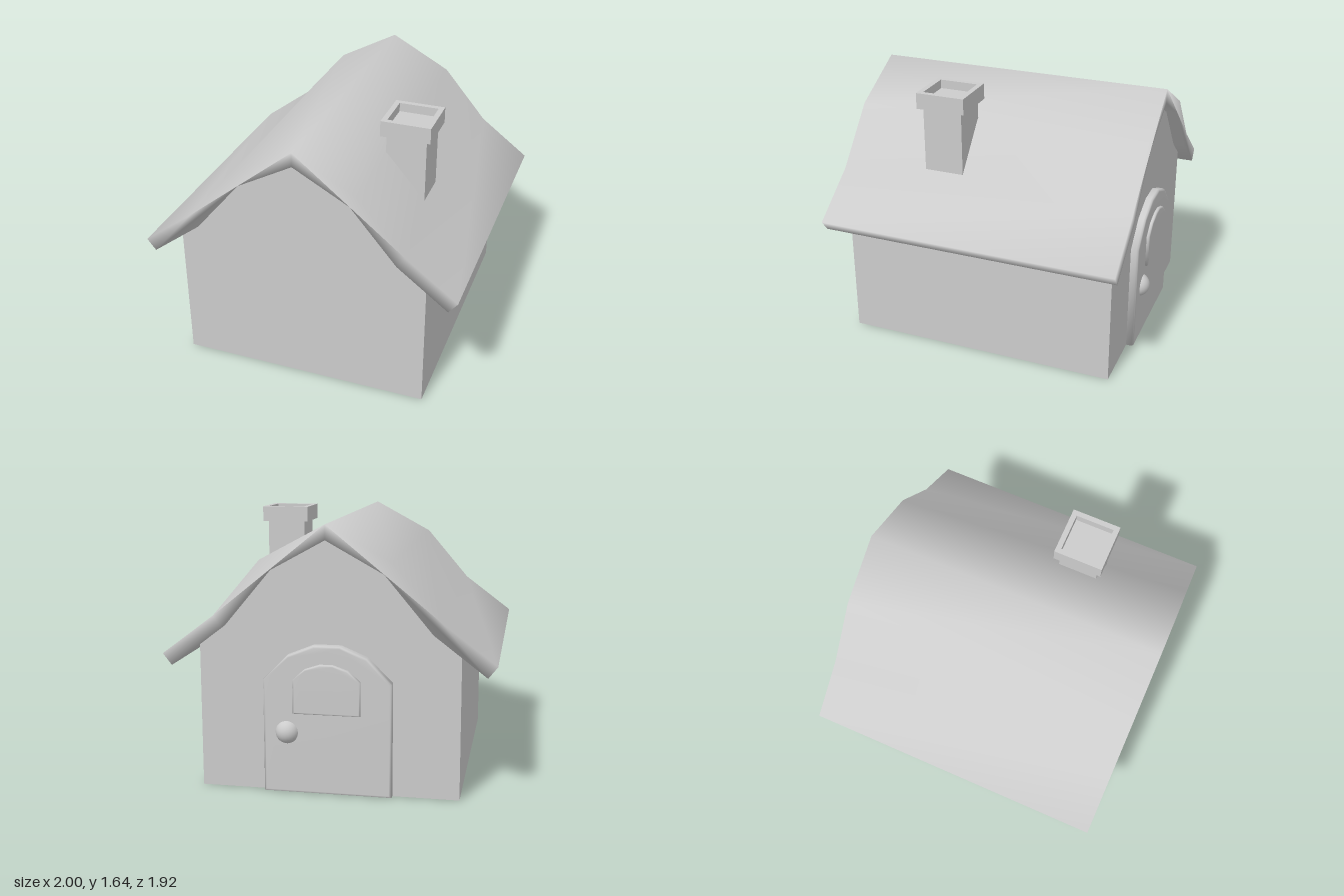
import * as THREE from 'three';
import { mergeVertices } from 'three/addons/utils/BufferGeometryUtils.js';

const material = new THREE.MeshStandardMaterial({ color: 0xcccccc });

function part(name, geometry, parent) {
  const mesh = new THREE.Mesh(geometry, material);
  mesh.name = name;
  parent.add(mesh);
  return mesh;
}

// Closed outline from right-half points, mirrored across x = 0
function mirrored(points) {
  const left = points.filter(([x]) => x > 0).map(([x, y]) => [-x, y]).reverse();
  return new THREE.Shape([...points, ...left].map(([x, y]) => new THREE.Vector2(x, y)));
}

// Extrude a shape between two z values, with an optional bevel inside the outline
function slab(shape, z0, z1, bevel = 0) {
  return new THREE.ExtrudeGeometry(shape, {
    depth: z1 - z0 - 2 * bevel, bevelEnabled: bevel > 0,
    bevelSize: bevel, bevelThickness: bevel, bevelOffset: -bevel, bevelSegments: 2,
  }).translate(0, 0, z0 + bevel);
}

// Weld the corners so that shading runs softly over the edges
function soften(geometry) {
  geometry.deleteAttribute('uv');
  geometry.deleteAttribute('normal');
  const welded = mergeVertices(geometry, 1e-4);
  welded.computeVertexNormals();
  return welded;
}

function square(half) {
  return [[-half, -half], [half, -half], [half, half], [-half, half]].map(
    ([x, y]) => new THREE.Vector2(x, y));
}

export function createModel() {
  const house = new THREE.Group();
  house.name = 'house';

  // Walls and gables, reaching just into the underside of the roof
  part('walls', slab(mirrored([
    [0.792, 0], [0.79, 0.9], [0.63, 1.02], [0.35, 1.36], [0, 1.55],
  ]), -0.86, 0.88), house);

  // Bent roof shell with an even thickness
  const outer = [[1, 0.84], [0.68, 1.08], [0.39, 1.42], [0, 1.63]];
  const inner = [[0, 1.54], [0.345, 1.35], [0.63, 1.01], [0.945, 0.77]];
  const flip = ([x, y]) => [-x, y];
  const ring = [
    ...outer, ...outer.slice(0, 3).reverse().map(flip),
    ...inner.slice(1).reverse().map(flip), ...inner,
  ].map(([x, y]) => new THREE.Vector2(x, y));
  part('roof', soften(slab(new THREE.Shape(ring), -0.935, 0.96)), house);

  // Chimney: shaft and hollow square cap
  const chimney = new THREE.Group();
  chimney.name = 'chimney';
  chimney.position.set(0.504, 0, 0.285);
  house.add(chimney);
  part('chimneyShaft', new THREE.BoxGeometry(0.25, 0.6, 0.25), chimney).position.y = 1.29;
  const rim = new THREE.Shape(square(0.155));
  rim.holes.push(new THREE.Path(square(0.122)));
  const cap = slab(rim, 0, 0.1).rotateX(-Math.PI / 2);
  part('chimneyCap', cap, chimney).position.y = 1.545;

  // Arched door on the back wall, with a raised window and a round knob
  const door = new THREE.Group();
  door.name = 'door';
  house.add(door);
  part('doorPanel', soften(slab(mirrored([
    [0.39, 0.001], [0.39, 0.7], [0.24, 0.85], [0.08, 0.915],
  ]), -0.91, -0.83, 0.015)), door);
  part('doorWindow', soften(slab(mirrored([
    [0.205, 0.5], [0.205, 0.71], [0.13, 0.775], [0.04, 0.805],
  ]), -0.93, -0.88, 0.01)), door);
  part('doorKnob', new THREE.SphereGeometry(0.075, 24, 16), door)
    .position.set(0.245, 0.38, -0.882);

  return house;
}
